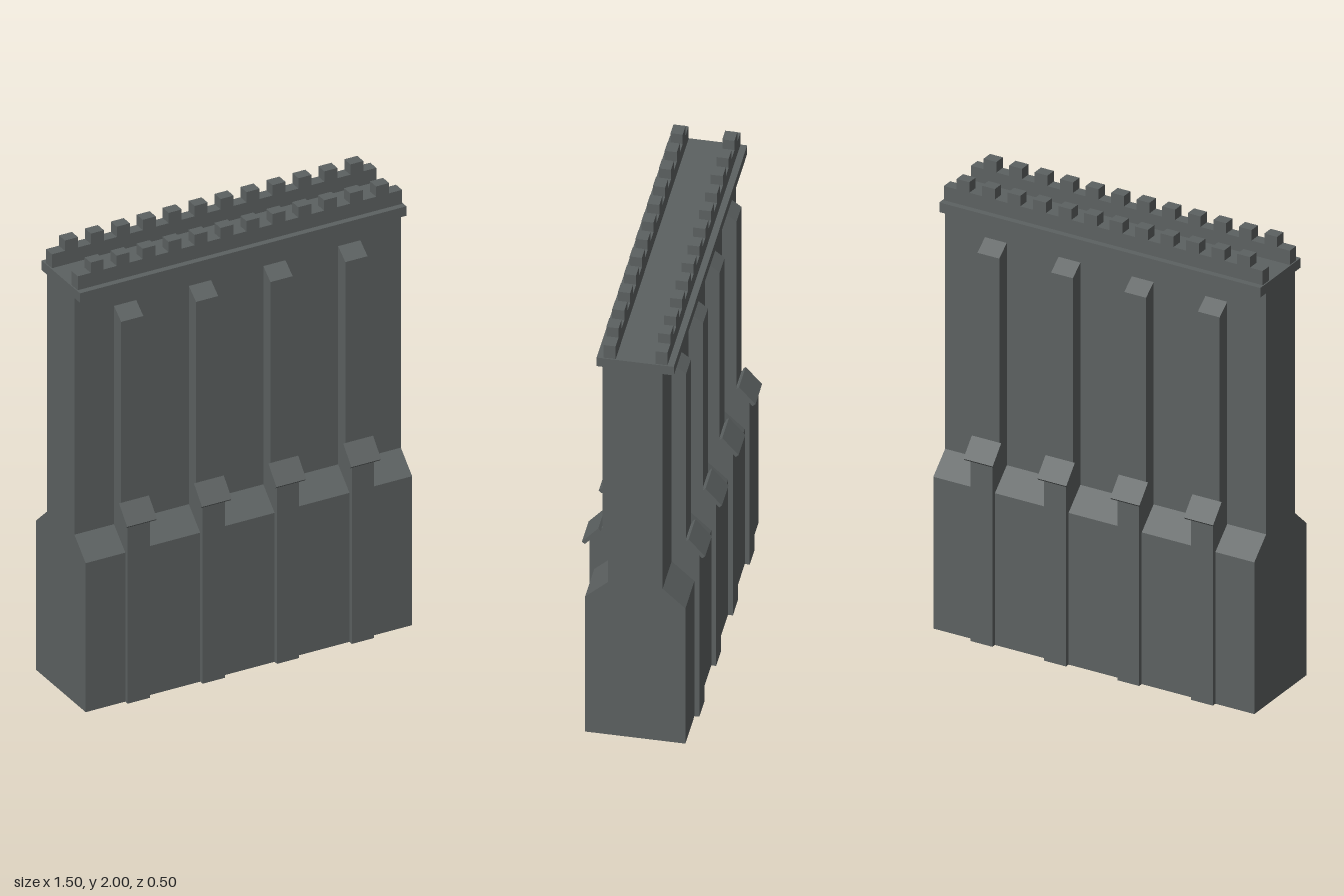
import * as THREE from 'three';

const stone = new THREE.MeshStandardMaterial({ color: 0x5c6161, side: THREE.DoubleSide, flatShading: true });
stone.name = 'dark stone';

// Extrudes a [z, y] outline along x, centred, leaving any face on the ground open
function slab(name, outline, width) {
  const shape = new THREE.Shape(outline.map(([z, y]) => new THREE.Vector2(z, y)));
  let geo = new THREE.ExtrudeGeometry(shape, { depth: width, bevelEnabled: false });
  geo.translate(0, 0, -width / 2).rotateY(-Math.PI / 2);
  if (geo.index) geo = geo.toNonIndexed();
  const p = geo.attributes.position;
  const kept = [];
  for (let i = 0; i < p.count; i += 3) {
    const onGround = [0, 1, 2].every(k => Math.abs(p.getY(i + k)) < 1e-5);
    if (!onGround) for (let k = 0; k < 3; k++) kept.push(p.getX(i + k), p.getY(i + k), p.getZ(i + k));
  }
  const open = new THREE.BufferGeometry();
  open.setAttribute('position', new THREE.Float32BufferAttribute(kept, 3));
  open.computeVertexNormals();
  const mesh = new THREE.Mesh(open, stone);
  mesh.name = name;
  return mesh;
}

// Pilaster stack: lower pier, slanted cap and upper pier
function buttress() {
  const g = new THREE.Group();
  g.name = 'buttress';
  g.add(
    slab('lowerPier', [[0.1, 0], [0.225, 0], [0.225, 0.838], [0.175, 0.89], [0.1, 0.89]], 0.102),
    slab('slantedCap', [[0.24, 0.813], [0.252, 0.824], [0.185, 0.9], [0.174, 0.889]], 0.137),
    slab('upperPier', [[0.1, 0.75], [0.171, 0.75], [0.171, 1.717], [0.112, 1.762], [0.1, 1.762]], 0.102)
  );
  return g;
}

// Crenellated parapet: low wall with alternating merlons, as one outline
function parapet() {
  const half = 0.745, n = 25, step = 2 * half / n;
  const shape = new THREE.Shape();
  shape.moveTo(half, 1.88);
  for (let i = n - 1; i >= 0; i--) {
    const y = i % 2 ? 2 : 1.953;
    shape.lineTo(-half + (i + 1) * step, y);
    shape.lineTo(-half + i * step, y);
  }
  shape.lineTo(-half, 1.88);
  const geo = new THREE.ExtrudeGeometry(shape, { depth: 0.05, bevelEnabled: false });
  const mesh = new THREE.Mesh(geo.translate(0, 0, 0.081), stone);
  mesh.name = 'parapet';
  return mesh;
}

export function createModel() {
  const model = new THREE.Group();
  model.name = 'fortressWall';

  // Main wall, thick at the foot, open underneath
  const side = [[0.205, 0], [0.205, 0.68], [0.112, 0.766], [0.112, 1.86]];
  model.add(slab('wall', [...side, ...side.map(([z, y]) => [-z, y]).reverse()], 1.5));

  // Overhanging walkway
  const walkway = new THREE.Mesh(new THREE.BoxGeometry(1.5, 0.043, 0.316), stone);
  walkway.position.y = 1.868;
  walkway.name = 'walkway';
  model.add(walkway);

  // Front and back faces carry the same details
  for (const turn of [0, Math.PI]) {
    const face = new THREE.Group();
    face.name = turn ? 'backFace' : 'frontFace';
    for (const x of [-0.517, -0.173, 0.169, 0.513]) {
      const b = buttress();
      b.position.x = turn ? -x : x;
      face.add(b);
    }
    face.add(parapet());
    face.rotation.y = turn;
    model.add(face);
  }
  return model;
}
